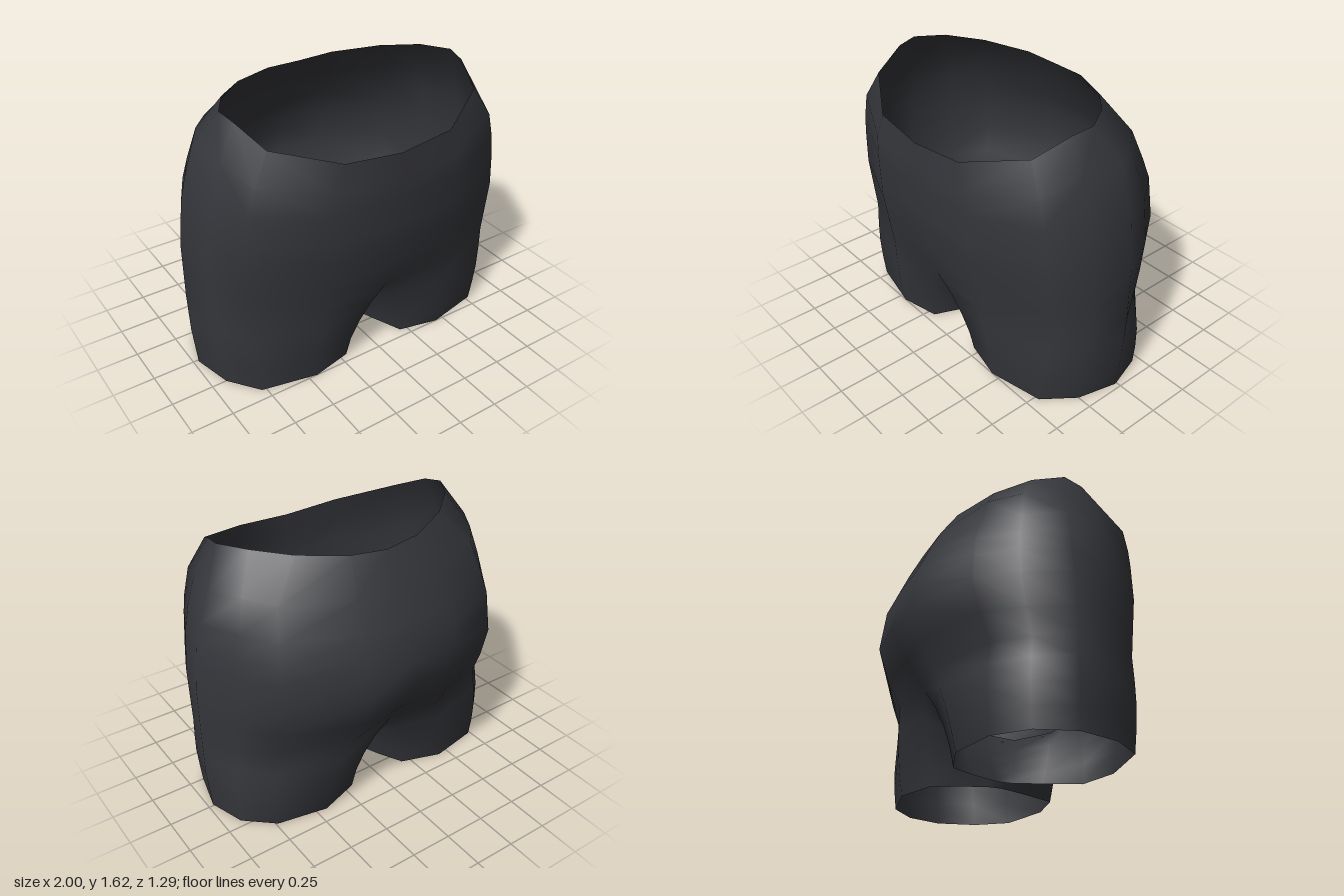
import * as THREE from 'three';
import { mergeVertices } from 'three/addons/utils/BufferGeometryUtils.js';

// Height, half width, front depth, back depth
const PROFILE = [
  [0, 0.97, 0.5, 0.41], [0.26, 0.995, 0.54, 0.46], [0.5, 1, 0.57, 0.5],
  [0.66, 1, 0.595, 0.585], [0.85, 1, 0.625, 0.65], [1.11, 0.97, 0.64, 0.615],
  [1.22, 0.945, 0.645, 0.56], [1.42, 0.88, 0.645, 0.46], [1.62, 0.76, 0.64, 0.35],
];
// Unit outlines of one half, front centre to back centre
const HIP = [[0, 1], [0.42, 0.98], [0.85, 0.71], [0.95, 0.36], [1, 0], [0.88, -0.37], [0.73, -0.69], [0.3, -0.98], [0, -1]];
const HEM = [[0.21, 0.89], [0.46, 1], [0.8, 0.86], [0.94, 0.5], [1, 0.02], [0.93, -0.5], [0.76, -0.86], [0.45, -1], [0.2, -0.8]];
// Waist edge of one half
const RIM = [
  [0, 1.4, 0.64], [0.34, 1.425, 0.615], [0.67, 1.51, 0.42], [0.74, 1.6, 0.22], [0.76, 1.62, 0.1],
  [0.66, 1.62, -0.06], [0.48, 1.6, -0.22], [0.22, 1.575, -0.345], [0, 1.56, -0.37],
];
// Inner thigh: hem x, hem z, crotch seam y, crotch seam z (back to front)
const THIGH = [[0.12, -0.18, 0.38, -0.31], [0.06, -0.03, 0.29, -0.1], [0.06, 0.07, 0.28, 0.12], [0.12, 0.24, 0.36, 0.36]];
const SPLIT = 0.5; // height where the legs join
const lerp = THREE.MathUtils.lerp;

function profile(y) {
  let i = 0;
  while (i < PROFILE.length - 2 && y > PROFILE[i + 1][0]) i++;
  const a = PROFILE[i], b = PROFILE[i + 1], t = (y - a[0]) / (b[0] - a[0]);
  return [1, 2, 3].map((k) => lerp(a[k], b[k], t));
}

// Point on the outer surface at column j and height y
function outer(j, y) {
  const [w, f, b] = profile(y);
  const t = Math.pow(Math.min(y / SPLIT, 1), 1.6);
  const x = lerp(HEM[j][0], HIP[j][0], t) * w;
  let z = lerp(HEM[j][1], HIP[j][1], t);
  z *= z > 0 ? f : b;
  // crease at the front and back centre, fading upward
  const fade = t * Math.max(0, 1 - (y - SPLIT) / 0.3);
  if (j === 0) z *= 1 - 0.05 * fade;
  if (j === 8) z *= 1 - 0.12 * fade;
  return [x, y, z];
}

function shortsGeometry() {
  const legRows = [], bodyRows = [];
  // leg rows: outer columns, then the inner thigh up to the crotch seam
  for (let r = 0; r <= 4; r++) {
    const t = r / 4;
    const row = HIP.map((_, j) => outer(j, t * SPLIT));
    for (const [x, z, cy, cz] of THIGH) row.push([x * (1 - Math.pow(t, 1.3)), cy * t, lerp(z, cz, t)]);
    row.push(row[0]);
    legRows.push(row);
  }
  // hip rows, squeezed to follow the slanted waist
  bodyRows.push(legRows[4].slice(0, 9));
  for (const y of [0.66, 0.85, 1.0, 1.11, 1.24, 1.42]) {
    bodyRows.push(HIP.map((_, j) => outer(j, y < 0.9 ? y : 0.85 + (y - 0.85) * (RIM[j][1] - 0.85) / 0.77)));
  }
  bodyRows.push(RIM);

  // join rows into faces on both sides of the body
  const pos = [];
  for (const side of [1, -1]) {
    const tri = (...pts) => {
      if (side < 0) pts.reverse();
      for (const [x, y, z] of pts) pos.push(x === 0 ? 0 : x * side, y, z);
    };
    for (const rows of [legRows, bodyRows]) {
      for (let i = 0; i < rows.length - 1; i++) {
        for (let j = 0; j < rows[i].length - 1; j++) {
          const a = rows[i][j], b = rows[i][j + 1], c = rows[i + 1][j + 1], d = rows[i + 1][j];
          tri(a, b, c);
          tri(a, c, d);
        }
      }
    }
  }
  const geo = new THREE.BufferGeometry();
  geo.setAttribute('position', new THREE.Float32BufferAttribute(pos, 3));
  const merged = mergeVertices(geo, 1e-4);
  merged.computeVertexNormals();
  return merged;
}

export function createModel() {
  const group = new THREE.Group();
  group.name = 'shorts';
  const fabric = new THREE.MeshStandardMaterial({ color: 0x35363b, side: THREE.DoubleSide });
  fabric.name = 'charcoal fabric';
  const shell = new THREE.Mesh(shortsGeometry(), fabric);
  shell.name = 'fabricShell';
  group.add(shell);
  return group;
}
